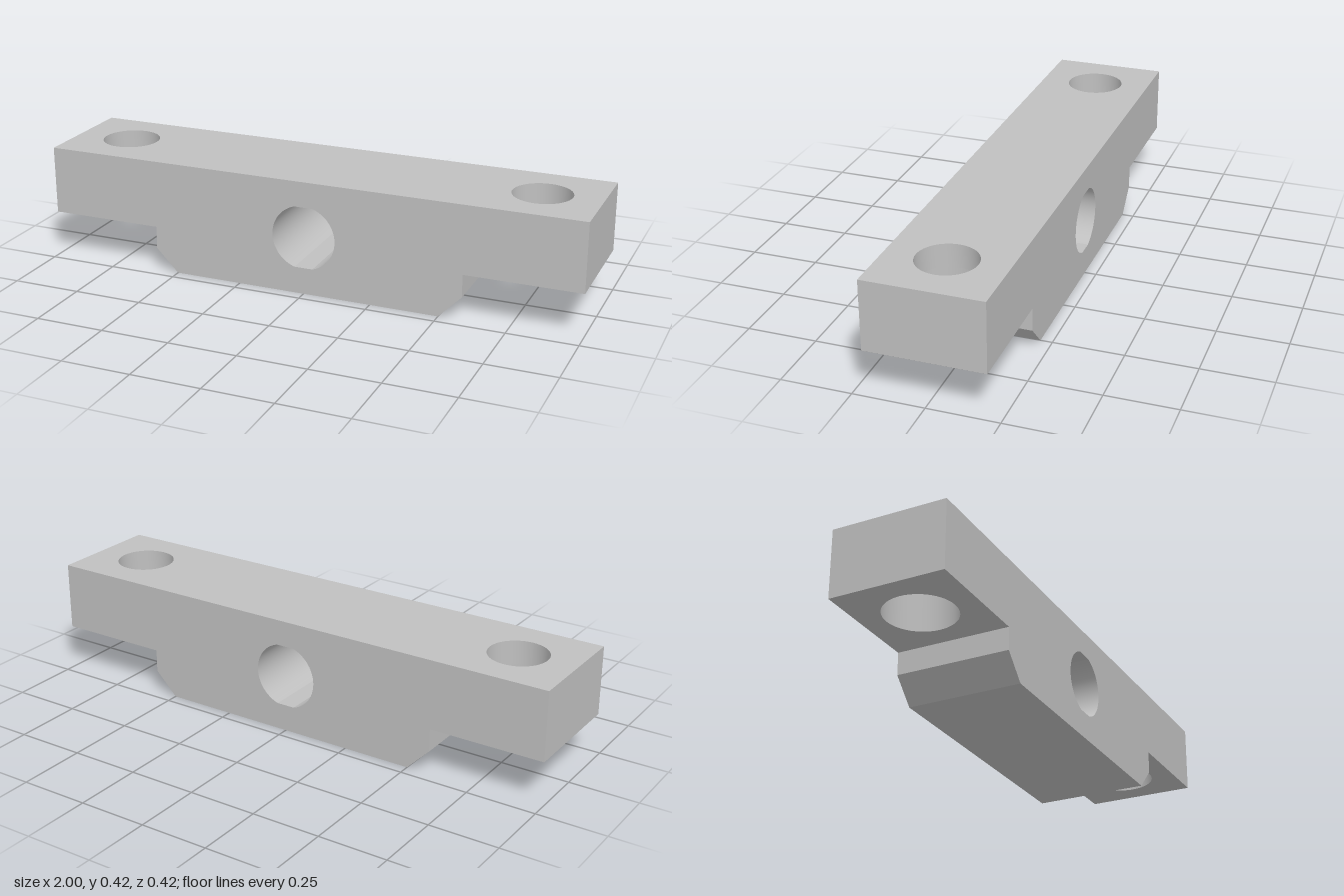
import * as THREE from 'three';
import { toCreasedNormals } from 'three/addons/utils/BufferGeometryUtils.js';

const TOP = 0.417, WING = 0.167, HALF_Z = 0.208;
const BOSS_X = 0.583, BOLT_X = 0.79, BOLT_R = 0.105, COUNTERBORE_R = 0.126;

// Closed loop running round a bore of radius r with flats at top and bottom.
function flattedCircle(cx, cy, r, halfHeight) {
  const start = Math.asin(halfHeight / r), n = 24, points = [];
  for (const base of [0, Math.PI]) {
    for (let i = 0; i <= n; i++) {
      const a = base - start + (2 * start * i) / n;
      points.push(new THREE.Vector2(cx + r * Math.cos(a), cy + r * Math.sin(a)));
    }
  }
  return points;
}

// Walls swept along z; counter-clockwise edges face outward, clockwise inward.
function walls(edges) {
  const pos = [];
  for (const [a, b] of edges) {
    const aF = [a.x, a.y, HALF_Z], aB = [a.x, a.y, -HALF_Z];
    const bF = [b.x, b.y, HALF_Z], bB = [b.x, b.y, -HALF_Z];
    pos.push(...aF, ...aB, ...bB, ...aF, ...bB, ...bF);
  }
  const g = new THREE.BufferGeometry();
  g.setAttribute('position', new THREE.Float32BufferAttribute(pos, 3));
  g.computeVertexNormals();
  return toCreasedNormals(g, 0.2);
}

// Flat rectangle with round holes on its centre line.
function plate(x0, x1, holes, r) {
  const s = new THREE.Shape([[x0, -HALF_Z], [x1, -HALF_Z], [x1, HALF_Z], [x0, HALF_Z]]
    .map(([x, y]) => new THREE.Vector2(x, y)));
  for (const x of holes) s.holes.push(new THREE.Path().absarc(x, 0, r, 0, Math.PI * 2, true));
  return new THREE.ShapeGeometry(s, 24);
}

export function createModel() {
  const group = new THREE.Group();
  const steel = new THREE.MeshStandardMaterial({ color: 0xc0c0c0 });
  steel.name = 'grey steel';
  const add = (name, geometry) => {
    const mesh = new THREE.Mesh(geometry, steel);
    mesh.name = name;
    group.add(mesh);
  };

  // Stepped profile with chamfered lower corners, counter-clockwise
  const right = [[0.5, 0], [BOSS_X, 0.084], [BOSS_X, WING], [1, WING], [1, TOP]];
  const left = right.map(([x, y]) => [-x, y]).reverse();
  const outline = [...right, ...left].map(([x, y]) => new THREE.Vector2(x, y));
  const bore = flattedCircle(0, 0.211, 0.118, 0.113);

  // Front and back faces
  const profile = new THREE.Shape(outline);
  profile.holes.push(new THREE.Path(bore));
  add('frontFace', new THREE.ShapeGeometry(profile).translate(0, 0, HALF_Z));
  add('backFace', new THREE.ShapeGeometry(profile).rotateY(Math.PI).translate(0, 0, -HALF_Z));

  // Ends, steps, chamfers and underside; the drilled faces are made below
  const loop = pts => pts.map((p, i) => [p, pts[(i + 1) % pts.length]]);
  const drilled = ([a, b]) => a.y === b.y && a.y > 0;
  add('bodyWalls', walls(loop(outline).filter(e => !drilled(e))));
  add('crossBore', walls(loop([...bore].reverse())));

  // Top face and undersides of the wings
  add('topFace', plate(-1, 1, [-BOLT_X, BOLT_X], BOLT_R).rotateX(-Math.PI / 2).translate(0, TOP, 0));
  for (const [side, sign] of [['left', 1], ['right', -1]]) {
    const x0 = Math.min(sign * BOSS_X, sign), x1 = Math.max(sign * BOSS_X, sign);
    add(side + 'WingUnderside', plate(x0, x1, [sign * BOLT_X], COUNTERBORE_R)
      .rotateX(Math.PI / 2).translate(0, WING, 0));

    // Bolt hole, wider below than above
    const steps = [[BOLT_R, TOP], [BOLT_R, 0.333], [COUNTERBORE_R, 0.333], [COUNTERBORE_R, WING]]
      .map(([r, y]) => new THREE.Vector2(r, y));
    add(side + 'BoltHole', toCreasedNormals(new THREE.LatheGeometry(steps, 48), 0.5)
      .translate(sign * BOLT_X, 0, 0));
  }
  return group;
}
